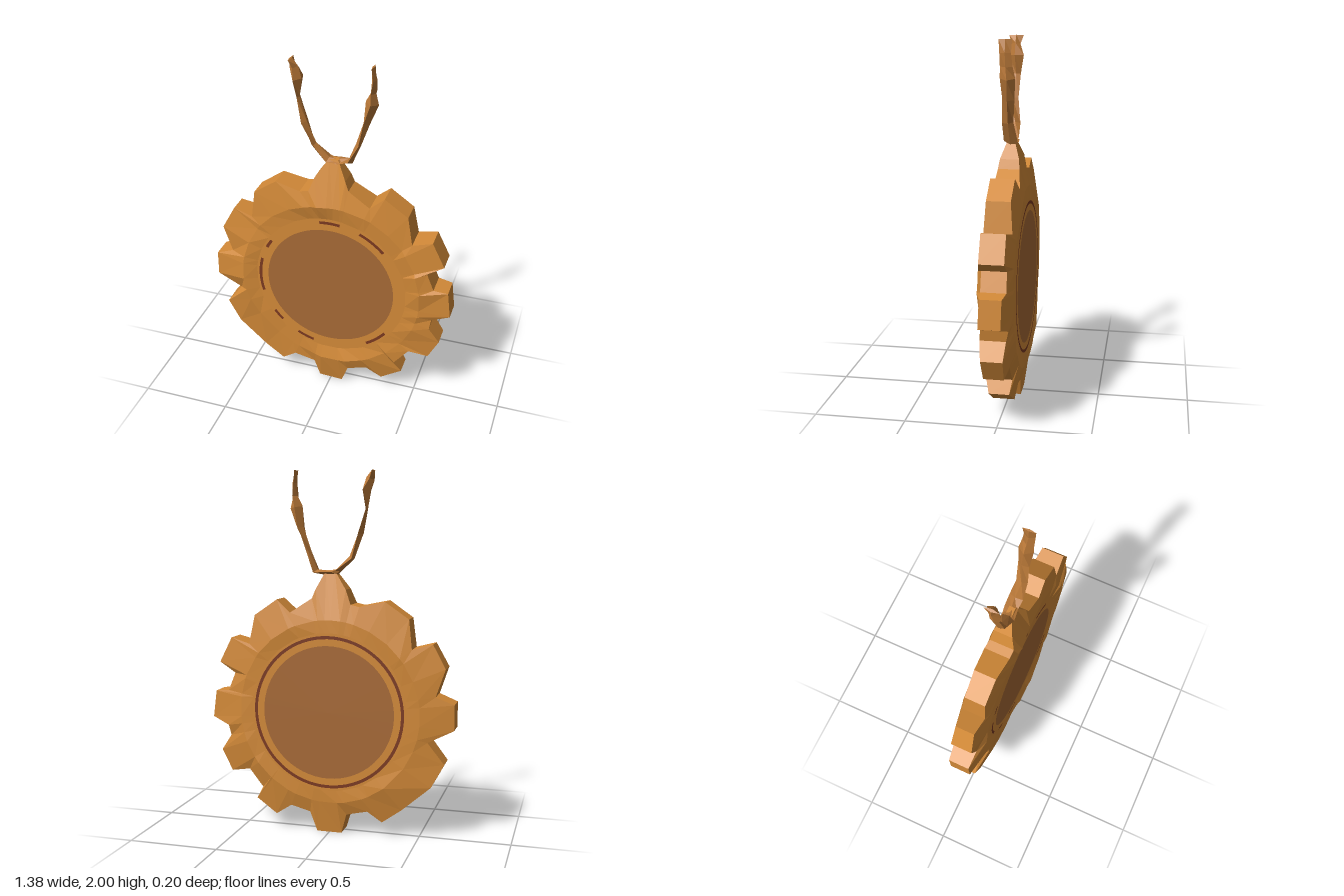
import * as THREE from 'three';

const mat = (name, color, side = THREE.FrontSide) =>
  Object.assign(new THREE.MeshStandardMaterial({ color, side, flatShading: true }), { name });

// Skins a list of closed loops (each an array of [x, y, z]) into a faceted surface
function loft(loops) {
  const pos = [];
  for (let k = 0; k < loops.length - 1; k++) {
    const A = loops[k], B = loops[k + 1], n = A.length;
    for (let i = 0; i < n; i++) {
      const j = (i + 1) % n;
      pos.push(...A[i], ...B[i], ...B[j], ...A[i], ...B[j], ...A[j]);
    }
  }
  const g = new THREE.BufferGeometry();
  g.setAttribute('position', new THREE.Float32BufferAttribute(pos, 3));
  g.computeVertexNormals();
  return g;
}

// Toothed rim, clockwise from the top
const outline = [
  [-0.02, 1.46], [0.03, 1.46], [0.08, 1.36], [0.10, 1.31], [0.22, 1.23], [0.30, 1.30], [0.43, 1.21],
  [0.46, 1.05], [0.57, 1.08], [0.64, 0.94], [0.55, 0.88], [0.59, 0.78], [0.67, 0.77], [0.69, 0.62],
  [0.59, 0.58], [0.58, 0.52], [0.64, 0.43], [0.58, 0.31], [0.47, 0.33], [0.39, 0.23], [0.43, 0.16],
  [0.31, 0.08], [0.22, 0.14], [0.11, 0.11], [0.07, 0], [-0.07, 0], [-0.10, 0.11], [-0.22, 0.14],
  [-0.30, 0.08], [-0.41, 0.16], [-0.57, 0.30], [-0.64, 0.43], [-0.55, 0.55], [-0.69, 0.62],
  [-0.69, 0.76], [-0.59, 0.80], [-0.64, 0.95], [-0.57, 1.08], [-0.46, 1.05], [-0.44, 1.21],
  [-0.31, 1.30], [-0.17, 1.27], [-0.12, 1.28], [-0.09, 1.36],
].reverse();
const CY = 0.685;

export function createModel() {
  const group = new THREE.Group();
  const orange = mat('carved orange', 0xd38a38);
  const brown = mat('inlay brown', 0xa86a36, THREE.DoubleSide);
  const red = mat('ring red brown', 0x7c3a20, THREE.DoubleSide);
  const cord = mat('cord brown', 0xb97838, THREE.DoubleSide);
  const add = (name, geo, m, x = 0, y = 0, z = 0) => {
    const mesh = new THREE.Mesh(geo, m);
    mesh.name = name;
    mesh.position.set(x, y, z);
    group.add(mesh);
    return mesh;
  };

  // Toothed medallion: rough hewn ridge around a flat centre on both sides
  let seed = 7;
  const rand = () => (seed = (seed * 16807) % 2147483647) / 2147483647;
  const circle = (r, z, rough = 0) => outline.map(([x, y], i) => {
    const a = Math.atan2(y - CY, x);
    const bump = rough * Math.sin(a * 4 + 1) + rough * (rand() - 0.5);
    return [r * Math.cos(a), CY + r * Math.sin(a), z + bump];
  });
  const rim = (z) => outline.map(([x, y]) => {
    const r = Math.hypot(x, y - CY);
    const thick = y > 1.4 ? 0.25 : r > 0.62 ? 0.95 : 1.15;
    return [x, y, z * thick + (rand() - 0.5) * 0.015];
  });
  add('medallion', loft([
    circle(0, 0.074), circle(0.44, 0.074), circle(0.52, 0.084, 0.01), rim(0.06),
    rim(-0.062), circle(0.51, -0.091, 0.006), circle(0.44, -0.088), circle(0, -0.088),
  ]), orange);

  // Round inlays on front and back
  const disc = new THREE.CircleGeometry(0.37, 64);
  add('frontInlay', disc, brown, 0, CY, 0.077);
  add('backInlay', disc, brown, 0, CY, -0.091).rotation.y = Math.PI;

  // Worn ring: broken arcs in front, complete at the back
  const arcs = [[82, 98], [43, 66], [145, 153], [165, 196], [216, 226], [242, 256], [302, 322]];
  for (const [from, to] of arcs) {
    const geo = new THREE.RingGeometry(0.408, 0.425, 12, 1,
      THREE.MathUtils.degToRad(from), THREE.MathUtils.degToRad(to - from));
    add('frontRingArc', geo, red, 0, CY, 0.077);
  }
  add('backRing', new THREE.RingGeometry(0.408, 0.425, 72), red, 0, CY, -0.091).rotation.y = Math.PI;

  // Twisted cord ends: x, y, z, half width, half depth, twist
  const strand = (name, pts) => {
    const loops = pts.map(([x, y, z, w, h, twist], k) => {
      const p = pts[Math.max(k - 1, 0)], q = pts[Math.min(k + 1, pts.length - 1)];
      const len = Math.hypot(q[0] - p[0], q[1] - p[1]);
      const nx = -(q[1] - p[1]) / len, ny = (q[0] - p[0]) / len;
      return [0, 1, 2, 3].map((i) => {
        const a = i * Math.PI / 2;
        const c = w * Math.cos(a), s = h * Math.sin(a);
        const u = c * Math.cos(twist) - s * Math.sin(twist);
        const v = c * Math.sin(twist) + s * Math.cos(twist);
        return [x + nx * u, y + ny * u, z - v];
      });
    });
    const tip = (k) => loops[0].map(() => pts[k].slice(0, 3));
    add(name, loft([tip(0), ...loops, tip(pts.length - 1)]), cord);
  };
  strand('rightCord', [
    [0.04, 1.445, 0, 0.010, 0.025, 0], [-0.03, 1.455, 0, 0.014, 0.035, 0.2],
    [-0.11, 1.53, 0, 0.015, 0.03, -0.2], [-0.155, 1.66, 0.015, 0.016, 0.03, 0.3],
    [-0.19, 1.79, 0.005, 0.007, 0.025, 0], [-0.19, 1.89, 0.005, 0.022, 0.045, 0.3],
    [-0.208, 1.95, 0.01, 0.024, 0.025, 0], [-0.225, 1.995, 0.01, 0.008, 0.04, 0],
  ]);
  strand('leftCord', [
    [-0.04, 1.45, -0.01, 0.010, 0.025, 0], [0.02, 1.447, -0.01, 0.013, 0.035, -0.2],
    [0.09, 1.455, -0.01, 0.015, 0.04, 0.2], [0.135, 1.565, 0, 0.014, 0.03, -0.2],
    [0.175, 1.69, -0.01, 0.018, 0.035, 0.3], [0.20, 1.80, -0.01, 0.035, 0.04, 0],
    [0.208, 1.86, -0.005, 0.014, 0.035, 0.2], [0.212, 1.93, 0, 0.014, 0.03, 0],
    [0.204, 1.998, 0, 0.006, 0.035, 0],
  ]);
  return group;
}
